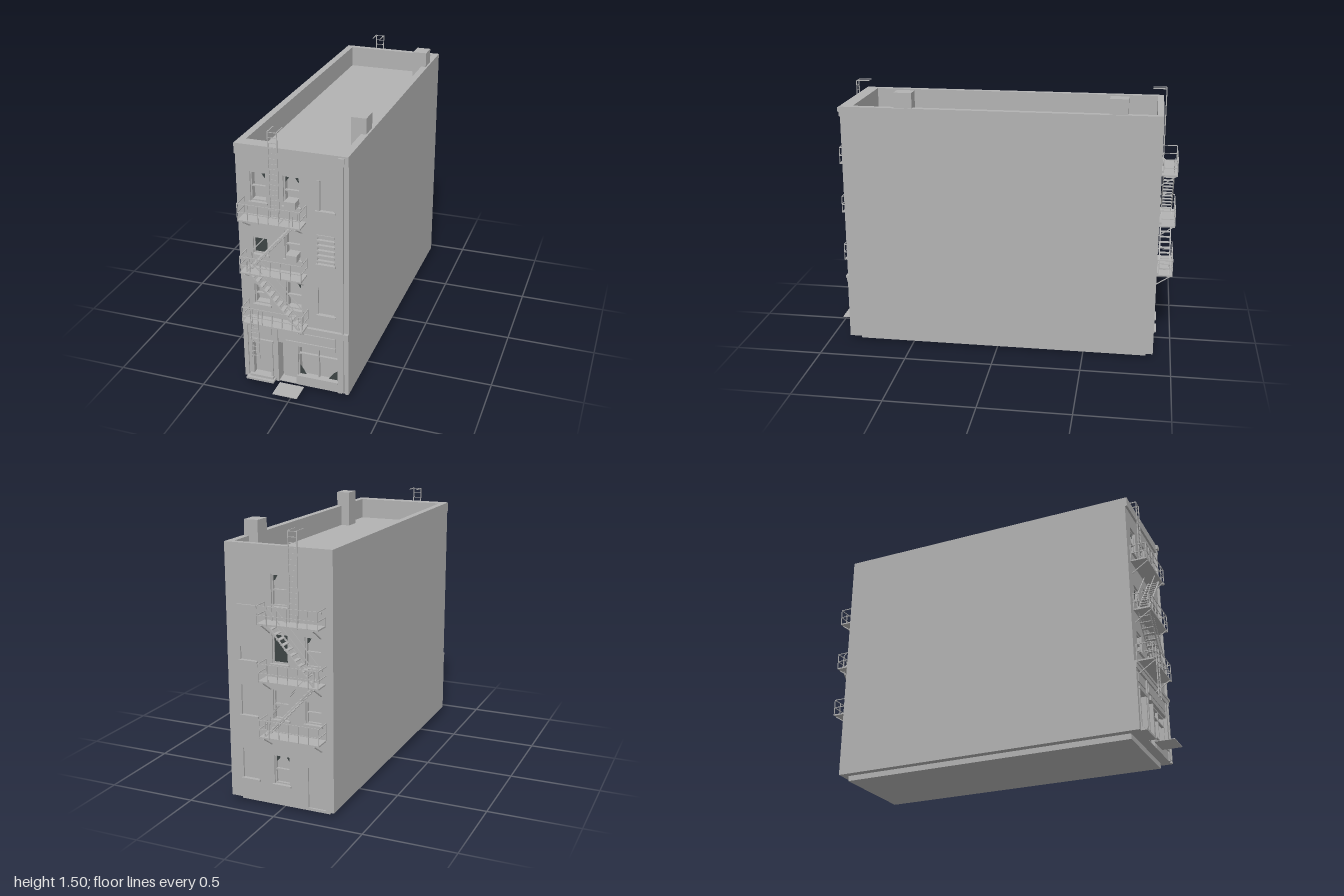
import * as THREE from 'three';

const gray = new THREE.MeshStandardMaterial({ color: 0xb2b2b2 });
gray.name = 'masonry gray';
const dark = new THREE.MeshStandardMaterial({ color: 0x3d4444, side: THREE.DoubleSide });
dark.name = 'dark glass';

// Box given by its minimum and maximum on each axis
function box(parent, name, x0, x1, y0, y1, z0, z1, mat = gray) {
  const m = new THREE.Mesh(new THREE.BoxGeometry(Math.abs(x1 - x0), y1 - y0, z1 - z0), mat);
  m.position.set((x0 + x1) / 2, (y0 + y1) / 2, (z0 + z1) / 2);
  m.name = name;
  parent.add(m);
  return m;
}

// Thin square bar between two points
function bar(parent, name, a, b, t = 0.004) {
  const p = new THREE.Vector3(...a), q = new THREE.Vector3(...b);
  const m = new THREE.Mesh(new THREE.BoxGeometry(t, t, p.distanceTo(q)), gray);
  m.position.copy(p).add(q).multiplyScalar(0.5);
  m.lookAt(q);
  m.name = name;
  parent.add(m);
}

// Wall with rectangular openings; the outer face lies on z = 0
function wall(parent, m, depth, openings) {
  const rect = (P, x0, x1, y0, y1) => {
    const p = new P();
    p.moveTo(x0, y0); p.lineTo(x1, y0); p.lineTo(x1, y1); p.lineTo(x0, y1); p.closePath();
    return p;
  };
  const s = rect(THREE.Shape, -0.262, 0.262, 0.03, 1.41);
  for (const [x0, x1, y0, y1] of openings) s.holes.push(rect(THREE.Path, m * x0, m * x1, y0, y1));
  const mesh = new THREE.Mesh(new THREE.ExtrudeGeometry(s, { depth, bevelEnabled: false }), gray);
  mesh.position.z = -depth;
  mesh.name = 'facadeWall';
  parent.add(mesh);
}

// Flat glass piece in any outline
function shard(parent, pts, z) {
  const s = new THREE.Shape(pts.map(p => new THREE.Vector2(p[0], p[1])));
  const mesh = new THREE.Mesh(new THREE.ShapeGeometry(s), dark);
  mesh.position.z = z;
  mesh.name = 'glassPiece';
  parent.add(mesh);
}

// Sash frame, sill and glass for one opening
function sashWindow(parent, m, [x0, x1, y0, y1, kind]) {
  const g = new THREE.Group();
  g.name = 'window';
  parent.add(g);
  const a = Math.min(m * x0, m * x1), b = Math.max(m * x0, m * x1), t = 0.007;
  box(g, 'sill', a - 0.008, b + 0.008, y0 - 0.01, y0, -0.02, 0.012);
  if (kind === 'board') { box(g, 'boardPanel', a, b, y0, y1, -0.03, -0.01); return; }
  if (kind === 'slats') {
    box(g, 'backPanel', a, b, y0, y1, -0.03, -0.015);
    for (let i = 0; i < 6; i++) box(g, 'plank', a - 0.004, b + 0.004, y0 + 0.008 + i * 0.029, y0 + 0.02 + i * 0.029, -0.012, 0.006);
    return;
  }
  for (const x of [a, b - t]) box(g, 'frameSide', x, x + t, y0, y1, -0.025, -0.01);
  for (const y of [y0, (y0 + y1) / 2 - t / 2, y1 - t]) {
    if (kind !== 'full' || y === y0 || y > (y0 + y1) / 2) box(g, 'frameRail', a, b, y, y + t, -0.025, -0.01);
  }
  if (kind === 'full') shard(g, [[a, y0], [b, y0], [b, y1 - 0.07 * (y1 - y0)], [a, y1 - 0.07 * (y1 - y0)]], -0.018);
  const c = 0.035;
  if (kind === 'right' || kind === 'both') {
    const e = m > 0 ? b : a;
    shard(g, [[e, y1], [e - m * c, y1], [e - m * 0.018, y1 - 0.03], [e, y1 - 0.045]], -0.018);
  }
  if (kind === 'both') {
    const e = m > 0 ? a : b;
    shard(g, [[e, y1], [e + m * c, y1], [e, y1 - 0.05]], -0.018);
  }
}

// Ladder standing at depth z
function ladder(parent, x0, x1, y0, y1, z) {
  for (const x of [x0, x1]) bar(parent, 'ladderRail', [x, y0, z], [x, y1, z], 0.005);
  for (let y = y0 + 0.015; y < y1; y += 0.028) bar(parent, 'ladderRung', [x0, y, z], [x1, y, z], 0.003);
}

// Three balconies joined by stairs, with a ladder over the roof edge
function fireEscape(parent, m, hasDropLadder) {
  const g = new THREE.Group();
  g.name = 'fireEscape';
  parent.add(g);
  const X0 = -0.26, X1 = 0.075, D = 0.092;
  for (const y of [0.42, 0.72, 1.02]) {
    box(g, 'balconyFloor', m * X0, m * X1, y, y + 0.008, 0.002, D);
    for (const h of [0.05, 0.098]) {
      bar(g, 'frontRail', [m * X0, y + h, D], [m * X1, y + h, D]);
      for (const x of [X0, X1]) bar(g, 'endRail', [m * x, y + h, 0], [m * x, y + h, D]);
    }
    for (let i = 0; i <= 6; i++) {
      const x = m * (X0 + (X1 - X0) * i / 6);
      bar(g, 'railPost', [x, y, D], [x, y + 0.098, D]);
    }
    for (const x of [X0, X1]) bar(g, 'wallPost', [m * x, y, 0.004], [m * x, y + 0.098, 0.004]);
    for (const x of [-0.235, 0.05]) bar(g, 'bracket', [m * x, y, D], [m * x, y - 0.06, 0.002], 0.005);
  }
  // Stair flights: start x, start y, end x, end y
  for (const [xa, ya, xb, yb] of [[0.05, 0.425, -0.225, 0.725], [-0.23, 0.725, 0.03, 1.025]]) {
    for (const z of [0.015, 0.075]) {
      bar(g, 'stairStringer', [m * xa, ya, z], [m * xb, yb, z], 0.007);
      bar(g, 'stairHandrail', [m * xa, ya + 0.09, z], [m * xb, yb + 0.09, z]);
      for (const e of [[xa, ya], [xb, yb]]) bar(g, 'stairPost', [m * e[0], e[1], z], [m * e[0], e[1] + 0.09, z]);
    }
    for (let i = 1; i < 12; i++) {
      const x = m * (xa + (xb - xa) * i / 12), y = ya + (yb - ya) * i / 12;
      box(g, 'stairTread', x - 0.011, x + 0.011, y - 0.002, y + 0.002, 0.015, 0.075);
    }
  }
  // Roof ladder with hooks
  ladder(g, m * -0.115, m * -0.067, 1.025, 1.49, 0.012);
  for (const x of [-0.115, -0.067]) bar(g, 'ladderHook', [m * x, 1.49, 0.012], [m * x, 1.49, -0.065], 0.005);
  if (hasDropLadder) ladder(g, m * -0.213, m * -0.17, 0.22, 0.51, 0.095);
}

function shopFront(parent) {
  const g = new THREE.Group();
  g.name = 'shopFront';
  parent.add(g);
  // Cornice, sign and piers
  box(g, 'cornice', -0.3, 0.3, 0.37, 0.395, 0, 0.012);
  box(g, 'corniceTop', -0.3, 0.3, 0.395, 0.41, 0, 0.018);
  box(g, 'signBoard', -0.085, 0.225, 0.31, 0.363, 0, 0.008);
  box(g, 'leftSign', -0.255, -0.135, 0.31, 0.363, 0, 0.005);
  box(g, 'awningBox', -0.055, 0.225, 0.28, 0.305, 0, 0.008);
  for (const [a, b] of [[-0.3, -0.275], [-0.115, -0.1], [0.24, 0.262], [0.28, 0.3]]) box(g, 'pier', a, b, 0.03, 0.37, 0, 0.008);
  // House door with frame and steps
  box(g, 'houseDoor', -0.245, -0.145, 0.055, 0.265, -0.04, -0.025);
  for (const a of [-0.257, -0.145]) box(g, 'doorJamb', a, a + 0.012, 0.045, 0.275, -0.03, 0.008);
  box(g, 'doorHead', -0.262, -0.128, 0.265, 0.28, -0.03, 0.012);
  box(g, 'doorStep', -0.28, -0.12, 0.03, 0.042, -0.03, 0.04);
  box(g, 'doorStepTop', -0.265, -0.13, 0.042, 0.055, -0.04, 0.022);
  // Shop door and path plate
  box(g, 'shopDoor', -0.09, 0, 0.035, 0.265, -0.058, -0.05);
  box(g, 'doorSidePost', 0, 0.012, 0.03, 0.28, -0.058, 0);
  box(g, 'entrancePlate', -0.09, 0.05, 0.03, 0.034, 0.02, 0.13);
  // Display window
  box(g, 'stallRiser', 0.01, 0.24, 0.03, 0.085, -0.03, 0.002);
  box(g, 'displaySill', 0.005, 0.24, 0.085, 0.093, -0.03, 0.01);
  for (const x of [0.01, 0.122, 0.232]) box(g, 'mullion', x, x + 0.007, 0.093, 0.28, -0.025, -0.01);
  for (const y of [0.222, 0.273]) box(g, 'transom', 0.01, 0.24, y, y + 0.007, -0.025, -0.01);
  shard(g, [[0.012, 0.093], [0.053, 0.093], [0.035, 0.125], [0.012, 0.16]], -0.018);
  shard(g, [[0.236, 0.093], [0.18, 0.093], [0.21, 0.135], [0.236, 0.155]], -0.018);
}

export function createModel() {
  const model = new THREE.Group();
  model.name = 'apartmentBuilding';

  // Main mass, party walls and plinth
  box(model, 'plinth', -0.26, 0.26, 0, 0.03, -0.86, 0.82);
  box(model, 'buildingCore', -0.262, 0.262, 0.03, 1.29, -0.865, 0.81);
  for (const s of [-1, 1]) box(model, 'sideWall', s < 0 ? -0.3 : 0.262, s < 0 ? -0.262 : 0.3, 0.03, 1.41, -0.9, 0.87);
  for (const [a, b] of [[0.47, 0.57], [-0.71, -0.61]]) box(model, 'chimney', 0.21, 0.29, 1.28, 1.495, a, b);

  // Front facade
  const front = new THREE.Group();
  front.name = 'frontFacade';
  front.position.z = 0.87;
  model.add(front);
  const frontWindows = [
    [-0.225, -0.138, 1.1, 1.262, 'right'], [-0.046, 0.042, 1.1, 1.262, 'both'],
    [-0.222, -0.14, 0.8, 0.895, 'full'], [-0.046, 0.042, 0.8, 0.96, 'open'],
    [-0.225, -0.138, 0.5, 0.617, 'open'], [-0.046, 0.042, 0.5, 0.662, 'right'],
    [0.132, 0.222, 1.1, 1.262, 'board'], [0.132, 0.222, 0.8, 0.965, 'slats'], [0.132, 0.222, 0.5, 0.66, 'board'],
  ];
  wall(front, 1, 0.06, [...frontWindows, [-0.257, -0.133, 0.04, 0.275], [-0.1, 0.24, 0.035, 0.28]]);
  frontWindows.forEach(w => sashWindow(front, 1, w));
  box(front, 'looseBoard', 0.132, 0.148, 1.1, 1.262, -0.01, 0.004);
  for (const y of [0.8, 1.1]) box(front, 'airConditioner', -0.03, 0.03, y, y + 0.038, -0.03, 0.035);
  box(front, 'roofCornice', -0.3, 0.3, 1.355, 1.41, 0, 0.012);
  // Rain pipe with hopper
  box(front, 'rainPipe', 0.264, 0.274, 0.04, 1.38, 0.001, 0.014);
  box(front, 'rainHopper', 0.252, 0.282, 1.375, 1.402, 0, 0.025);
  shopFront(front);
  fireEscape(front, 1, true);

  // Back facade, turned round so x is mirrored
  const back = new THREE.Group();
  back.name = 'backFacade';
  back.position.z = -0.9;
  back.rotation.y = Math.PI;
  model.add(back);
  const backWindows = [
    [-0.05, 0.04, 1.1, 1.265, 'right'], [-0.05, 0.04, 0.8, 0.96, 'full'],
    [-0.05, 0.04, 0.5, 0.66, 'open'], [-0.05, 0.04, 0.14, 0.3, 'both'],
    [0.132, 0.225, 0.8, 0.87, 'board'], [0.132, 0.225, 0.5, 0.665, 'board'], [0.132, 0.225, 0.145, 0.31, 'board'],
    [-0.235, -0.145, 0.8, 0.96, 'right'], [-0.235, -0.145, 0.5, 0.62, 'open'],
  ];
  const backDoor = [-0.255, -0.155, 0.035, 0.26];
  wall(back, -1, 0.035, [...backWindows, backDoor]);
  backWindows.forEach(w => sashWindow(back, -1, w));
  box(back, 'backDoor', 0.155, 0.255, 0.035, 0.26, -0.025, -0.01);
  box(back, 'bareSill', -0.235, -0.125, 1.085, 1.095, 0, 0.01);
  box(back, 'bareSill', 0.14, 0.24, 1.085, 1.095, 0, 0.01);
  fireEscape(back, -1, false);

  return model;
}
